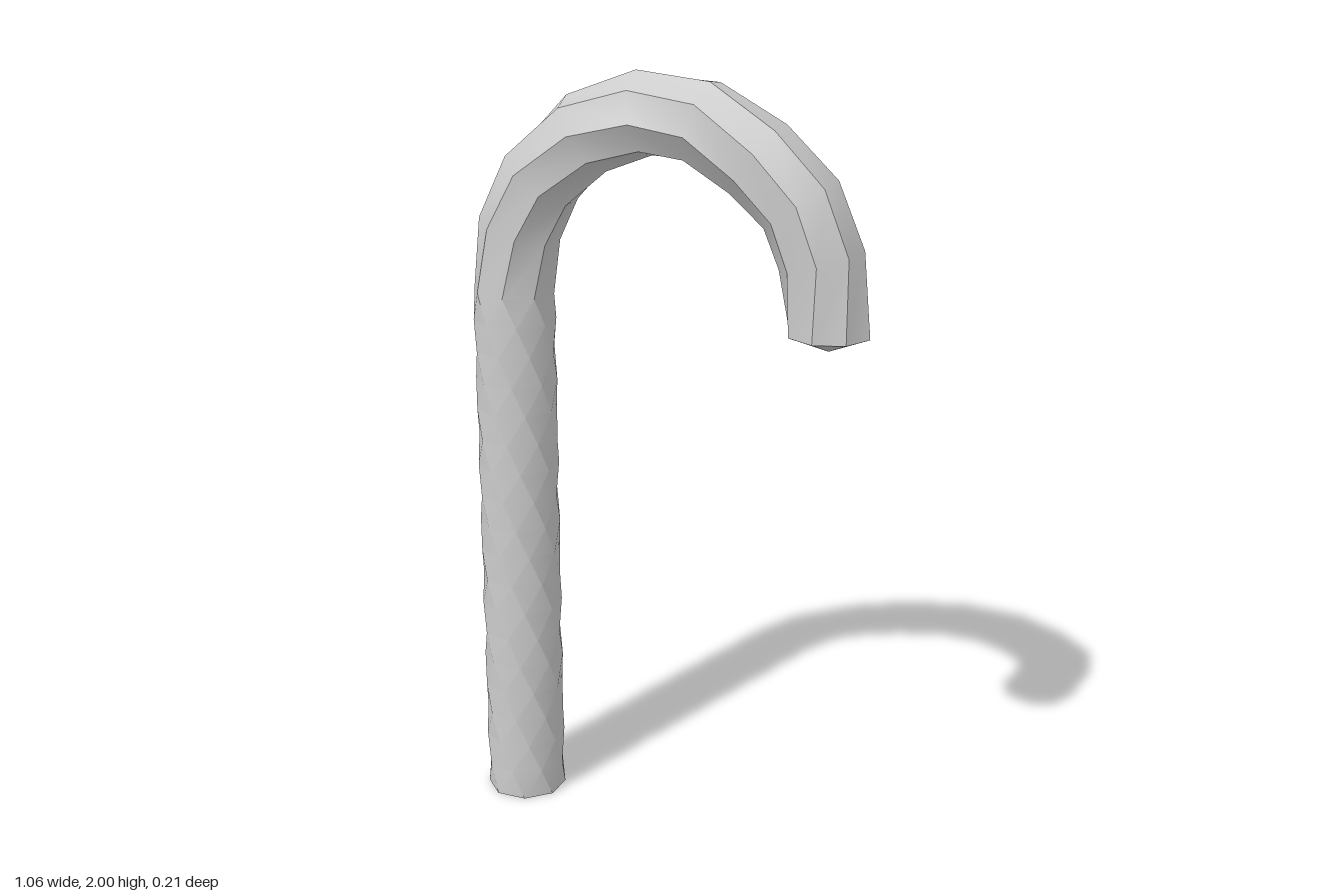
import * as THREE from 'three';
import { toCreasedNormals } from 'three/addons/utils/BufferGeometryUtils.js';

const SIDES = 8;
const RADIUS = 0.106;
const TWIST = THREE.MathUtils.degToRad(340); // twist per unit of length

// Centre line: straight stem, then the bent hook
function centreLine() {
  const points = [];
  const stemSteps = 18;
  for (let i = 0; i < stemSteps; i++) {
    points.push(new THREE.Vector2(-0.425, (1.42 * i) / stemSteps));
  }
  const hook = [
    [-0.425, 1.42], [-0.405, 1.58], [-0.34, 1.715], [-0.215, 1.835], [-0.06, 1.895],
    [0.09, 1.885], [0.235, 1.805], [0.345, 1.705], [0.4, 1.575], [0.424, 1.395],
  ];
  hook.forEach(([x, y]) => points.push(new THREE.Vector2(x, y)));
  return points;
}

// Twisted octagonal bar swept along the centre line, closed at both ends
function twistedBar(path) {
  const positions = [];
  const indices = [];
  const last = path.length - 1;
  let angle = Math.PI / 8;

  path.forEach((p, k) => {
    if (k > 0) angle += TWIST * p.distanceTo(path[k - 1]);
    const tangent = new THREE.Vector2(0, k === last ? -1 : 1);
    if (k > 0 && k < last) {
      const before = p.clone().sub(path[k - 1]).normalize();
      const after = path[k + 1].clone().sub(p).normalize();
      tangent.copy(before.add(after).normalize());
    }
    for (let i = 0; i < SIDES; i++) {
      const a = angle + (i / SIDES) * Math.PI * 2;
      const out = RADIUS * Math.cos(a);
      positions.push(p.x - tangent.y * out, p.y + tangent.x * out, RADIUS * Math.sin(a));
    }
  });

  // Sides
  for (let k = 0; k < last; k++) {
    for (let i = 0; i < SIDES; i++) {
      const j = (i + 1) % SIDES;
      const a = k * SIDES + i;
      const b = k * SIDES + j;
      const c = b + SIDES;
      const d = a + SIDES;
      indices.push(a, b, d, b, c, d);
    }
  }

  // Flat foot and shallow pointed tip
  const foot = positions.length / 3;
  const tip = foot + 1;
  positions.push(path[0].x, 0, 0, path[last].x, 1.352, 0);
  for (let i = 0; i < SIDES; i++) {
    const j = (i + 1) % SIDES;
    indices.push(foot, j, i, tip, last * SIDES + i, last * SIDES + j);
  }

  const geometry = new THREE.BufferGeometry();
  geometry.setAttribute('position', new THREE.Float32BufferAttribute(positions, 3));
  geometry.setIndex(indices);
  return toCreasedNormals(geometry, 0.5);
}

export function createModel() {
  const group = new THREE.Group();
  group.name = 'candyCane';
  const material = new THREE.MeshStandardMaterial({ color: 0xcccccc });
  const cane = new THREE.Mesh(twistedBar(centreLine()), material);
  cane.name = 'twistedCane';
  group.add(cane);
  return group;
}
